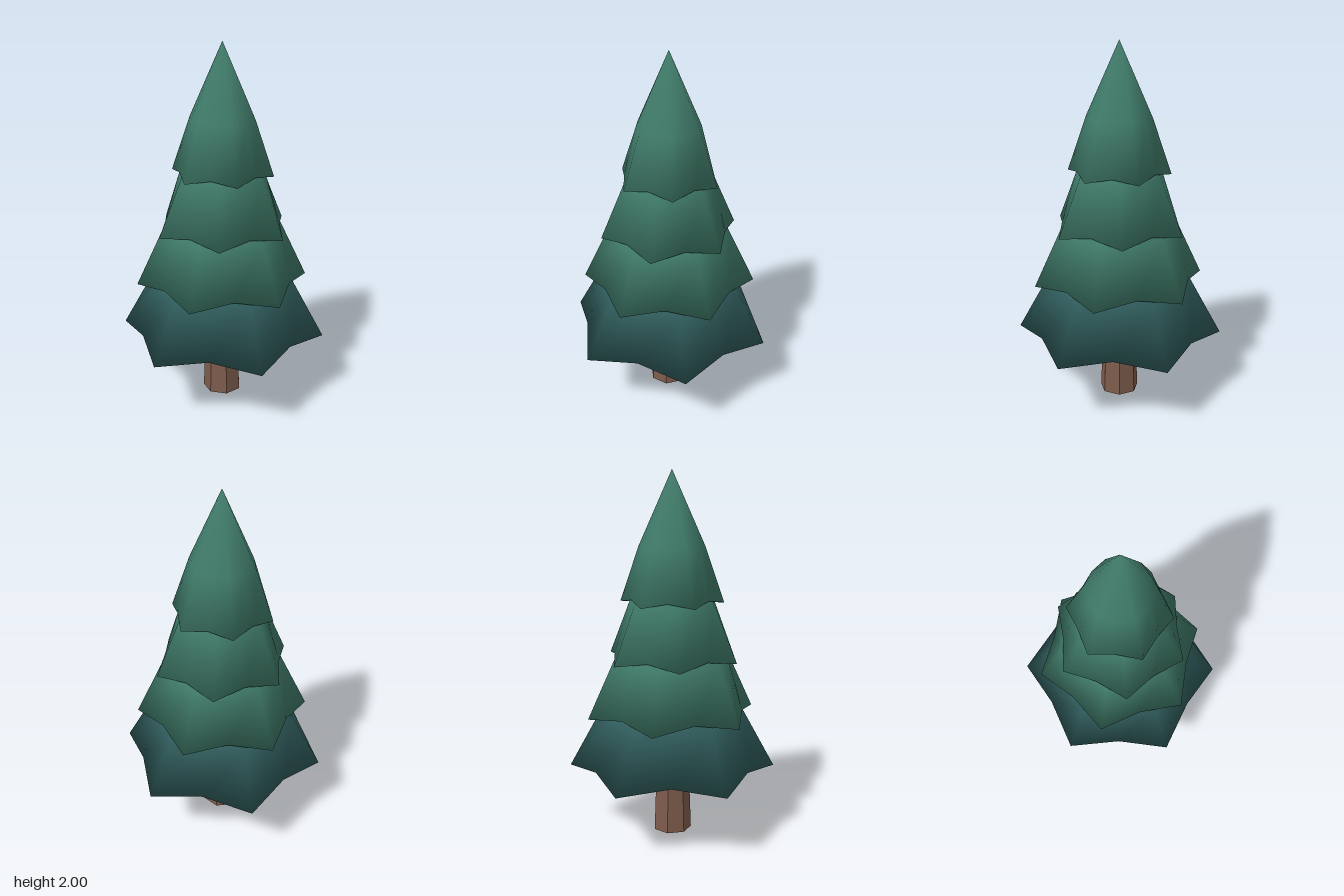
import * as THREE from 'three';

const POINTS = 6;
const SIDES = POINTS * 2;

// One skirt of branches: a star-shaped rim that rounds off towards the tip,
// closed underneath and smoothly shaded over the rim.
function tierGeometry({ y, tip, valley, lift, midY, midR, topY, phase }) {
  const pos = [];
  const index = [];
  const start = THREE.MathUtils.degToRad(phase);
  const ring = (outer, inner, yOuter, yInner) => {
    for (let i = 0; i < SIDES; i++) {
      const a = start + (i / SIDES) * Math.PI * 2;
      const r = i % 2 ? inner : outer;
      pos.push(Math.cos(a) * r, i % 2 ? yInner : yOuter, Math.sin(a) * r);
    }
  };
  ring(tip, valley, y, y + lift);
  ring(midR, midR * 0.95, midY, midY);
  const apex = SIDES * 2;
  const base = apex + 1;
  pos.push(0, topY, 0, 0, y, 0);
  for (let i = 0; i < SIDES; i++) {
    const j = (i + 1) % SIDES;
    const c = i + SIDES;
    const d = j + SIDES;
    index.push(i, c, j, j, c, d, c, apex, d, base, i, j);
  }
  const geo = new THREE.BufferGeometry();
  geo.setAttribute('position', new THREE.Float32BufferAttribute(pos, 3));
  geo.setIndex(index);
  geo.computeVertexNormals();
  return geo;
}

export function createModel() {
  const tree = new THREE.Group();
  tree.name = 'pineTree';

  const bark = new THREE.MeshStandardMaterial({ color: 0x7d5c4c, flatShading: true });
  const teal = new THREE.MeshStandardMaterial({ color: 0x305c5c });
  const green = new THREE.MeshStandardMaterial({ color: 0x3f7a68 });

  // Seven-sided tapered trunk
  const trunk = new THREE.Mesh(
    new THREE.CylinderGeometry(0.093, 0.108, 0.42, 7, 1, false, -Math.PI / 2), bark);
  trunk.position.y = 0.21;
  trunk.name = 'trunk';
  tree.add(trunk);

  // Four skirts, each turned against the one below
  const tiers = [
    { name: 'bottomBranches', mat: teal, y: 0.37, tip: 0.57, valley: 0.47, lift: 0.04, midY: 0.69, midR: 0.395, topY: 1.15, phase: 0 },
    { name: 'lowerBranches', mat: green, y: 0.68, tip: 0.475, valley: 0.39, lift: 0.035, midY: 1.0, midR: 0.325, topY: 1.45, phase: 42 },
    { name: 'upperBranches', mat: green, y: 0.99, tip: 0.377, valley: 0.312, lift: 0.03, midY: 1.31, midR: 0.24, topY: 1.7, phase: 23.5 },
    { name: 'topBranches', mat: green, y: 1.3, tip: 0.281, valley: 0.237, lift: 0.025, midY: 1.6, midR: 0.178, topY: 2, phase: 5 },
  ];
  for (const t of tiers) {
    const mesh = new THREE.Mesh(tierGeometry(t), t.mat);
    mesh.name = t.name;
    tree.add(mesh);
  }
  return tree;
}
